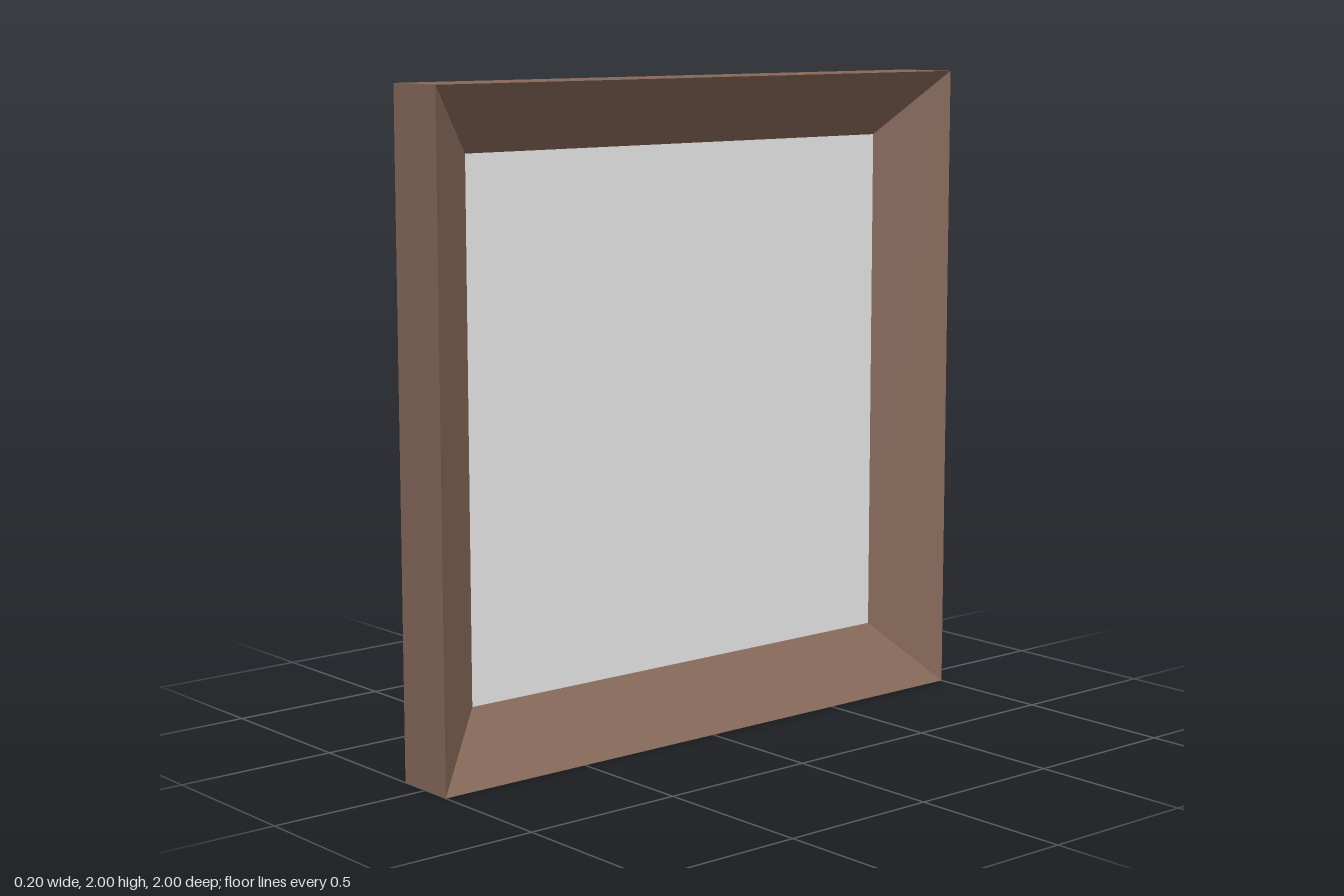
import * as THREE from 'three';

export function createModel() {
  const brown = new THREE.MeshStandardMaterial({ color: 0x866859 });
  brown.name = 'brown wood';
  const white = new THREE.MeshStandardMaterial({ color: 0xf4f4f4 });
  white.name = 'white panel';

  const group = new THREE.Group();
  group.name = 'framedPanel';
  const half = 1, inner = 0.8, front = 0.1, back = -0.1, recess = -0.045;

  // Mitred frame: a four-sided lathe of the outer wall and the inward slope
  const profile = [[half, back], [half, front], [inner, recess]]
    .map(([r, y]) => new THREE.Vector2(r * Math.SQRT2, y));
  const frameGeometry = new THREE.LatheGeometry(profile, 4, Math.PI / 4).toNonIndexed();
  frameGeometry.computeVertexNormals();
  frameGeometry.rotateZ(-Math.PI / 2);
  frameGeometry.translate(0, half, 0);
  const frame = new THREE.Mesh(frameGeometry, brown);
  frame.name = 'frame';
  group.add(frame);

  // Square faces: the recessed picture area and the full backing
  function addFace(name, size, x, turn) {
    const face = new THREE.Mesh(new THREE.PlaneGeometry(size, size), white);
    face.name = name;
    face.rotation.y = turn;
    face.position.set(x, half, 0);
    group.add(face);
  }
  addFace('panel', 2 * inner, recess, Math.PI / 2);
  addFace('backing', 2 * half, back, -Math.PI / 2);

  return group;
}
